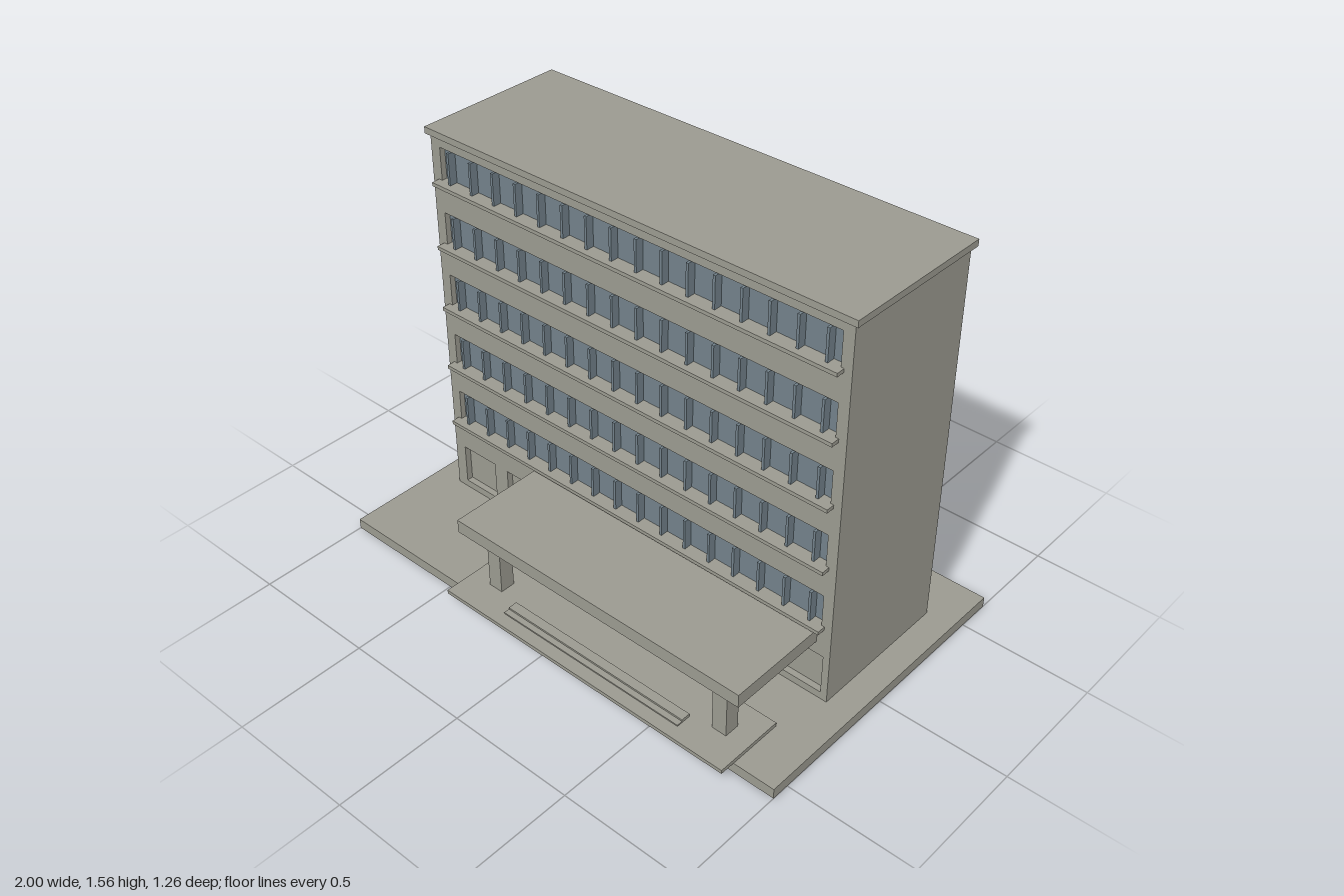
import * as THREE from 'three';

export function createModel() {
  const model = new THREE.Group();
  model.name = 'officeBuilding';
  const concrete = new THREE.MeshStandardMaterial({ color: 0x9b9a90 });
  concrete.name = 'concrete';
  const glass = new THREE.MeshStandardMaterial({ color: 0x72818a });
  glass.name = 'blueGreyGlass';

  // Box given by its limits on each axis
  function block(name, [x0, x1], [y0, y1], [z0, z1], material = concrete, parent = model) {
    const mesh = new THREE.Mesh(new THREE.BoxGeometry(x1 - x0, y1 - y0, z1 - z0), material);
    mesh.position.set((x0 + x1) / 2, (y0 + y1) / 2, (z0 + z1) / 2);
    mesh.name = name;
    parent.add(mesh);
    return mesh;
  }

  const FRONT = 0.157, RECESS = 0.025, BACK = FRONT - RECESS;
  const floors = [0, 1, 2, 3, 4].map(i => 0.361 + i * 0.2525);
  const groundBays = [-0.762, -0.532, -0.31, -0.002, 0.237, 0.555, 0.783];

  // Base, main volume and roof
  block('baseSlab', [-1, 1], [0, 0.041], [-0.63, 0.57]);
  block('buildingCore', [-0.892, 0.892], [0.041, 1.535], [-0.428, BACK]);
  block('roofSlab', [-0.907, 0.907], [1.535, 1.56], [-0.442, 0.169]);

  // Front wall with window openings
  const rect = (Type, x0, x1, y0, y1) => {
    const r = new Type();
    r.moveTo(x0, y0);
    r.lineTo(x1, y0);
    r.lineTo(x1, y1);
    r.lineTo(x0, y1);
    r.closePath();
    return r;
  };
  const wall = rect(THREE.Shape, -0.892, 0.892, 0.041, 1.535);
  for (const y of floors) wall.holes.push(rect(THREE.Path, -0.85, 0.85, y, y + 0.126));
  for (const x of groundBays) wall.holes.push(rect(THREE.Path, x - 0.082, x + 0.082, 0.07, 0.23));
  const facade = new THREE.Mesh(
    new THREE.ExtrudeGeometry(wall, { depth: RECESS, bevelEnabled: false }), concrete);
  facade.position.z = BACK;
  facade.name = 'frontWall';
  model.add(facade);

  // Window bands: glass strip, upright fins and sill on each floor
  floors.forEach((y, i) => {
    const band = new THREE.Group();
    band.name = 'windowBand' + (i + 1);
    block('glassStrip', [-0.85, 0.85], [y, y + 0.126], [BACK - 0.002, BACK + 0.003], glass, band);
    for (let k = 0; k < 16; k++) {
      const x = -0.804 + k * 0.1072;
      block('windowFin', [x - 0.005, x + 0.005], [y, y + 0.121], [BACK, 0.166], glass, band);
    }
    block('sill', [-0.865, 0.862], [y - 0.014, y], [FRONT - 0.005, 0.19], concrete, band);
    model.add(band);
  });

  // Entrance canopy on two columns
  block('canopy', [-0.444, 0.835], [0.281, 0.334], [FRONT, 0.557]);
  for (const x of [-0.323, 0.72]) {
    block('canopyColumn', [x - 0.03, x + 0.03], [0.056, 0.281], [0.447, 0.507]);
  }

  // Entrance platform and low steps
  block('entrancePlatform', [-0.444, 0.835], [0.041, 0.056], [0.352, 0.63]);
  block('lowerStep', [-0.205, 0.605], [0.056, 0.061], [0.52, 0.58]);
  block('upperStep', [-0.205, 0.605], [0.061, 0.068], [0.52, 0.557]);

  return model;
}
